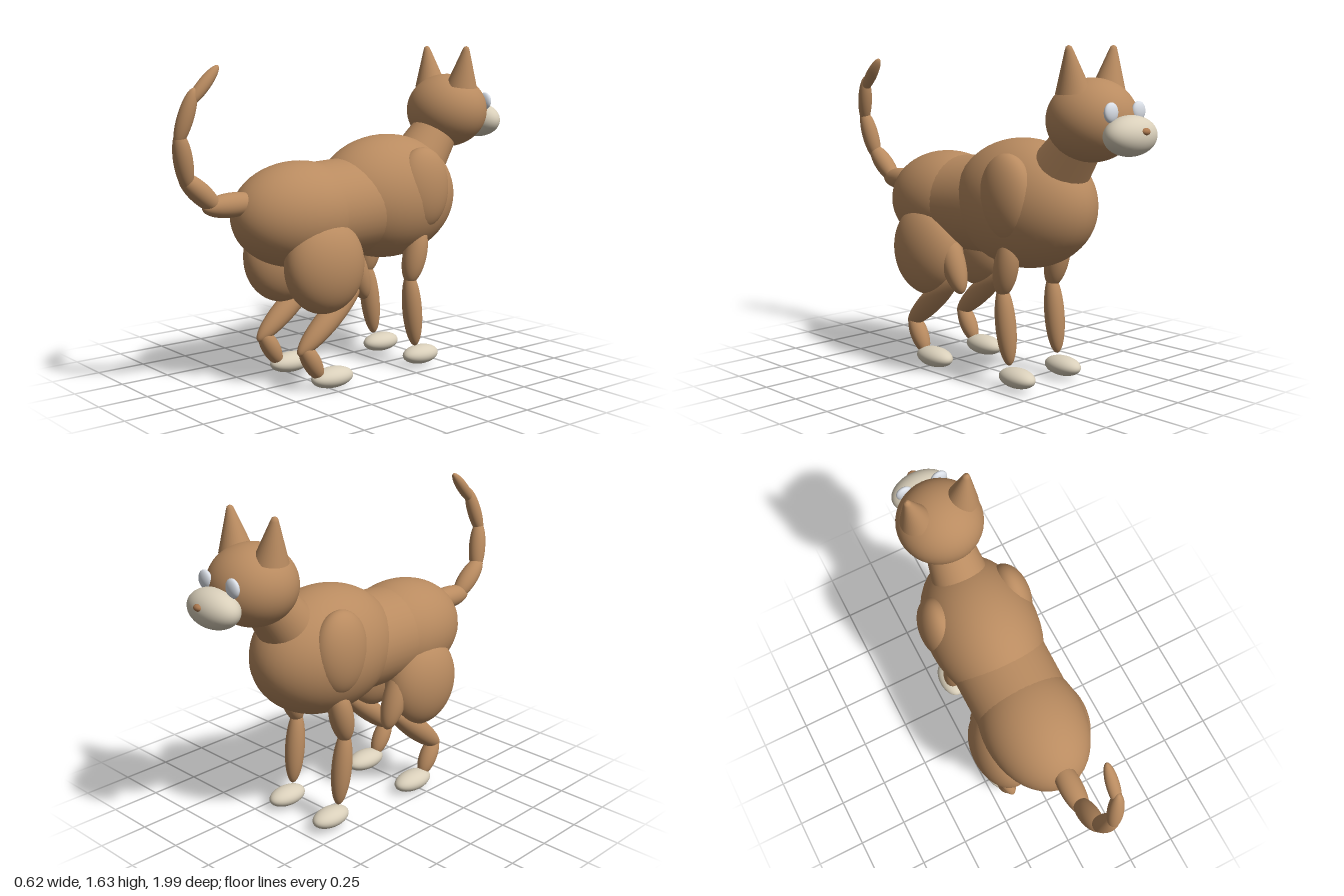
import * as THREE from 'three';

const fur = new THREE.MeshStandardMaterial({ color: 0xb98b60 });
fur.name = 'brownFur';
const cream = new THREE.MeshStandardMaterial({ color: 0xd9cfba });
cream.name = 'creamFur';
const eyeWhite = new THREE.MeshStandardMaterial({ color: 0xdde2ea });
eyeWhite.name = 'paleEye';
const noseBrown = new THREE.MeshStandardMaterial({ color: 0xad7a50 });
noseBrown.name = 'noseBrown';

const ball = new THREE.SphereGeometry(1, 40, 28);
const V = (p) => new THREE.Vector3(...p);
const UP = new THREE.Vector3(0, 1, 0);

function add(parent, name, geometry, material) {
  const mesh = new THREE.Mesh(geometry, material);
  mesh.name = name;
  parent.add(mesh);
  return mesh;
}

// Ellipsoid at a centre with three radii, optionally pitched about x
function blob(parent, name, centre, radii, material = fur, pitch = 0) {
  const mesh = add(parent, name, ball, material);
  mesh.position.set(...centre);
  mesh.scale.set(...radii);
  mesh.rotation.x = pitch;
  return mesh;
}

// Places a y-aligned mesh midway between two points
function align(mesh, a, b) {
  const dir = V(b).sub(V(a));
  mesh.position.copy(V(a)).addScaledVector(dir, 0.5);
  mesh.quaternion.setFromUnitVectors(UP, dir.normalize());
}

// Ellipsoid whose tips lie on two points
function limb(parent, name, a, b, r) {
  const mesh = add(parent, name, ball, fur);
  mesh.scale.set(r, V(a).distanceTo(V(b)) / 2, r);
  align(mesh, a, b);
}

// Tapered cylinder from a to b
function tube(parent, name, a, b, ra, rb) {
  const h = V(a).distanceTo(V(b));
  align(add(parent, name, new THREE.CylinderGeometry(rb, ra, h, 40), fur), a, b);
}

function buildLegs(body, s) {
  const front = new THREE.Group();
  front.name = 'frontLeg';
  blob(front, 'shoulder', [s * 0.195, 0.93, -0.325], [0.1, 0.208, 0.155]);
  limb(front, 'upperArm', [s * 0.18, 0.74, -0.335], [s * 0.17, 0.45, -0.265], 0.06);
  limb(front, 'forearm', [s * 0.17, 0.51, -0.268], [s * 0.165, 0.12, -0.315], 0.05);
  blob(front, 'frontPaw', [s * 0.158, 0.067, -0.36], [0.064, 0.048, 0.107], cream);

  const hind = new THREE.Group();
  hind.name = 'hindLeg';
  blob(hind, 'thigh', [s * 0.172, 0.608, 0.27], [0.14, 0.232, 0.215], fur, 0.1);
  limb(hind, 'knee', [s * 0.17, 0.74, 0.155], [s * 0.17, 0.415, 0.02], 0.062);
  limb(hind, 'shin', [s * 0.17, 0.51, 0.05], [s * 0.17, 0.195, 0.425], 0.058);
  limb(hind, 'hock', [s * 0.17, 0.25, 0.405], [s * 0.17, 0.06, 0.295], 0.046);
  blob(hind, 'hindPaw', [s * 0.172, 0.056, 0.225], [0.066, 0.05, 0.118], cream);
  body.add(front, hind);
}

// Cone with a rounded tip, leaning outward
function buildEar(head, s) {
  const profile = [[0, 0], [0.08, 0], [0.08, 0], [0.019, 0.185], [0.013, 0.2], [0, 0.207]]
    .map(([x, y]) => new THREE.Vector2(x, y));
  const ear = add(head, 'ear', new THREE.LatheGeometry(profile, 36), fur);
  ear.position.set(s * 0.118, 1.43, -0.665);
  ear.rotation.z = -s * 0.16;
}

export function createModel() {
  const model = new THREE.Group();
  model.name = 'cat';

  // Trunk
  blob(model, 'chest', [0, 0.882, -0.25], [0.28, 0.313, 0.4]);
  tube(model, 'waist', [0, 0.838, 0.32], [0, 0.855, -0.12], 0.238, 0.242);
  blob(model, 'hips', [0, 0.84, 0.3], [0.256, 0.256, 0.35]);
  tube(model, 'neck', [0, 0.995, -0.43], [0, 1.27, -0.655], 0.152, 0.105);

  // Head and face
  const head = new THREE.Group();
  head.name = 'head';
  model.add(head);
  blob(head, 'skull', [0, 1.3, -0.674], [0.212, 0.19, 0.208]);
  blob(head, 'muzzle', [0, 1.242, -0.897], [0.148, 0.091, 0.094], cream);
  blob(head, 'nose', [0, 1.265, -0.98], [0.026, 0.017, 0.02], noseBrown);

  for (const s of [1, -1]) {
    buildEar(head, s);
    blob(head, 'eye', [s * 0.092, 1.345, -0.864], [0.042, 0.045, 0.02], eyeWhite);
    buildLegs(model, s);
  }

  // Tail of overlapping segments curling upward
  const tail = new THREE.Group();
  tail.name = 'tail';
  model.add(tail);
  [
    [[0, 0.92, 0.52], [0, 0.912, 0.83], 0.058],
    [[0, 0.895, 0.74], [0, 1.075, 0.945], 0.05],
    [[0, 1.0, 0.905], [0.04, 1.275, 0.97], 0.044],
    [[0.03, 1.2, 0.975], [0.072, 1.46, 0.905], 0.037],
    [[0.064, 1.375, 0.94], [0.073, 1.555, 0.782], 0.03],
  ].forEach(([a, b, r]) => limb(tail, 'tailSegment', a, b, r));

  return model;
}
